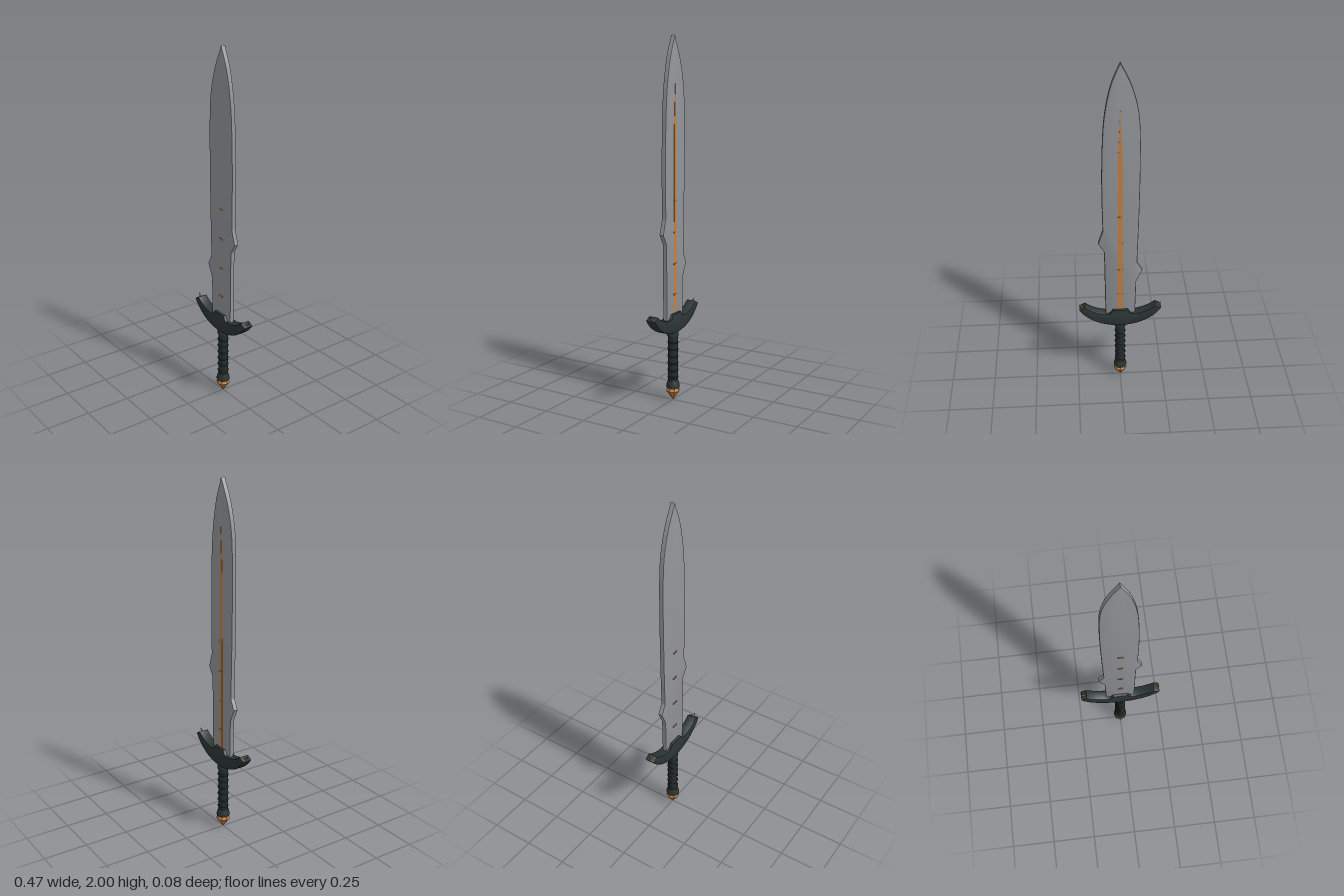
import * as THREE from 'three';
import { toCreasedNormals } from 'three/addons/utils/BufferGeometryUtils.js';

const material = (name, color, flatShading = false) => {
  const m = new THREE.MeshStandardMaterial({ color });
  m.name = name;
  m.flatShading = flatShading;
  return m;
};

// Bevelled slab centred on z = 0 whose silhouette stays on the given shape
function slab(shape, thickness, bevel) {
  const g = new THREE.ExtrudeGeometry(shape, {
    depth: thickness - 2 * bevel, bevelEnabled: true, bevelThickness: bevel,
    bevelSize: bevel, bevelOffset: -bevel, bevelSegments: 2, curveSegments: 10,
  });
  g.translate(0, 0, -thickness / 2 + bevel);
  return toCreasedNormals(g, 0.5);
}

export function createModel() {
  const steel = material('steel', 0x929498);
  const iron = material('dark iron', 0x2b3533);
  const leather = material('dark leather', 0x222c2c);
  const copper = material('copper', 0xc77f3c, true);

  const sword = new THREE.Group();
  sword.name = 'sword';
  const add = (name, geometry, mat, parent = sword) => {
    const mesh = new THREE.Mesh(geometry, mat);
    mesh.name = name;
    parent.add(mesh);
    return mesh;
  };

  // Leaf-shaped blade with one barb on each edge at different heights
  const b = new THREE.Shape();
  b.moveTo(-0.084, 0.44);
  b.lineTo(0.083, 0.44);
  b.lineTo(0.088, 0.9);
  b.lineTo(0.121, 0.955);
  b.lineTo(0.095, 1.035);
  b.splineThru([[0.098, 1.3], [0.093, 1.54], [0.08, 1.72], [0.048, 1.88], [0, 2]]
    .map(p => new THREE.Vector2(...p)));
  b.splineThru([[-0.053, 1.89], [-0.088, 1.77], [-0.102, 1.64], [-0.105, 1.4], [-0.101, 1.1], [-0.094, 0.825]]
    .map(p => new THREE.Vector2(...p)));
  b.lineTo(-0.124, 0.77);
  b.lineTo(-0.09, 0.695);
  b.closePath();
  add('blade', slab(b, 0.027, 0.006), steel);

  // Tapering inlay on the back of the blade
  const f = new THREE.Shape();
  f.moveTo(-0.014, 0.46);
  f.lineTo(0.014, 0.46);
  f.lineTo(0.011, 1.5);
  f.lineTo(0, 1.75);
  f.lineTo(-0.011, 1.5);
  f.closePath();
  const inlay = new THREE.ExtrudeGeometry(f, { depth: 0.003, bevelEnabled: false });
  inlay.translate(0, 0, -0.0155);
  add('backInlay', inlay, copper);

  // Short copper bars through the blade
  for (const y of [0.61, 0.78, 0.955, 1.125]) {
    add('bladeBar', new THREE.BoxGeometry(0.03, 0.007, 0.035), copper).position.y = y;
  }

  // Crescent crossguard with a raised centre
  const c = new THREE.Shape();
  c.moveTo(0, 0.395);
  c.bezierCurveTo(0.09, 0.395, 0.18, 0.43, 0.233, 0.51);
  c.lineTo(0.2, 0.528);
  c.quadraticCurveTo(0.15, 0.487, 0.085, 0.477);
  c.lineTo(0.06, 0.479);
  c.lineTo(0.042, 0.505);
  c.lineTo(-0.042, 0.505);
  c.lineTo(-0.06, 0.479);
  c.lineTo(-0.085, 0.477);
  c.quadraticCurveTo(-0.15, 0.487, -0.2, 0.528);
  c.lineTo(-0.233, 0.51);
  c.bezierCurveTo(-0.18, 0.43, -0.09, 0.395, 0, 0.395);
  add('crossguard', slab(c, 0.058, 0.005), iron);

  // Spikes at the ends of the guard
  for (const side of [1, -1]) {
    const spike = add(side > 0 ? 'leftSpike' : 'rightSpike', new THREE.ConeGeometry(0.012, 0.042, 8), copper);
    spike.position.set(side * 0.221, 0.521, 0);
    spike.rotation.z = -side * 0.75;
  }

  // Grip with wrapped rings, an upper collar and a flared foot
  const grip = new THREE.Group();
  grip.name = 'grip';
  sword.add(grip);
  add('gripCore', new THREE.CylinderGeometry(0.027, 0.027, 0.3, 20).translate(0, 0.255, 0), leather, grip);
  for (let i = 0; i < 6; i++) {
    const ring = add('gripRing', new THREE.TorusGeometry(0.027, 0.005, 6, 20), leather, grip);
    ring.rotation.x = Math.PI / 2;
    ring.position.y = 0.135 + i * 0.04;
  }
  add('collar', new THREE.CylinderGeometry(0.032, 0.032, 0.026, 20).translate(0, 0.387, 0), iron, grip);
  const foot = [[0, 0.072], [0.036, 0.072], [0.038, 0.084], [0.029, 0.115], [0, 0.115]];
  add('gripFoot', toCreasedNormals(new THREE.LatheGeometry(foot.map(p => new THREE.Vector2(...p)), 20), 0.5), iron, grip);

  // Pointed, faceted pommel
  const gem = [[0, 0], [0.039, 0.054], [0.03, 0.076], [0, 0.076]];
  add('pommel', new THREE.LatheGeometry(gem.map(p => new THREE.Vector2(...p)), 8), copper);

  return sword;
}
